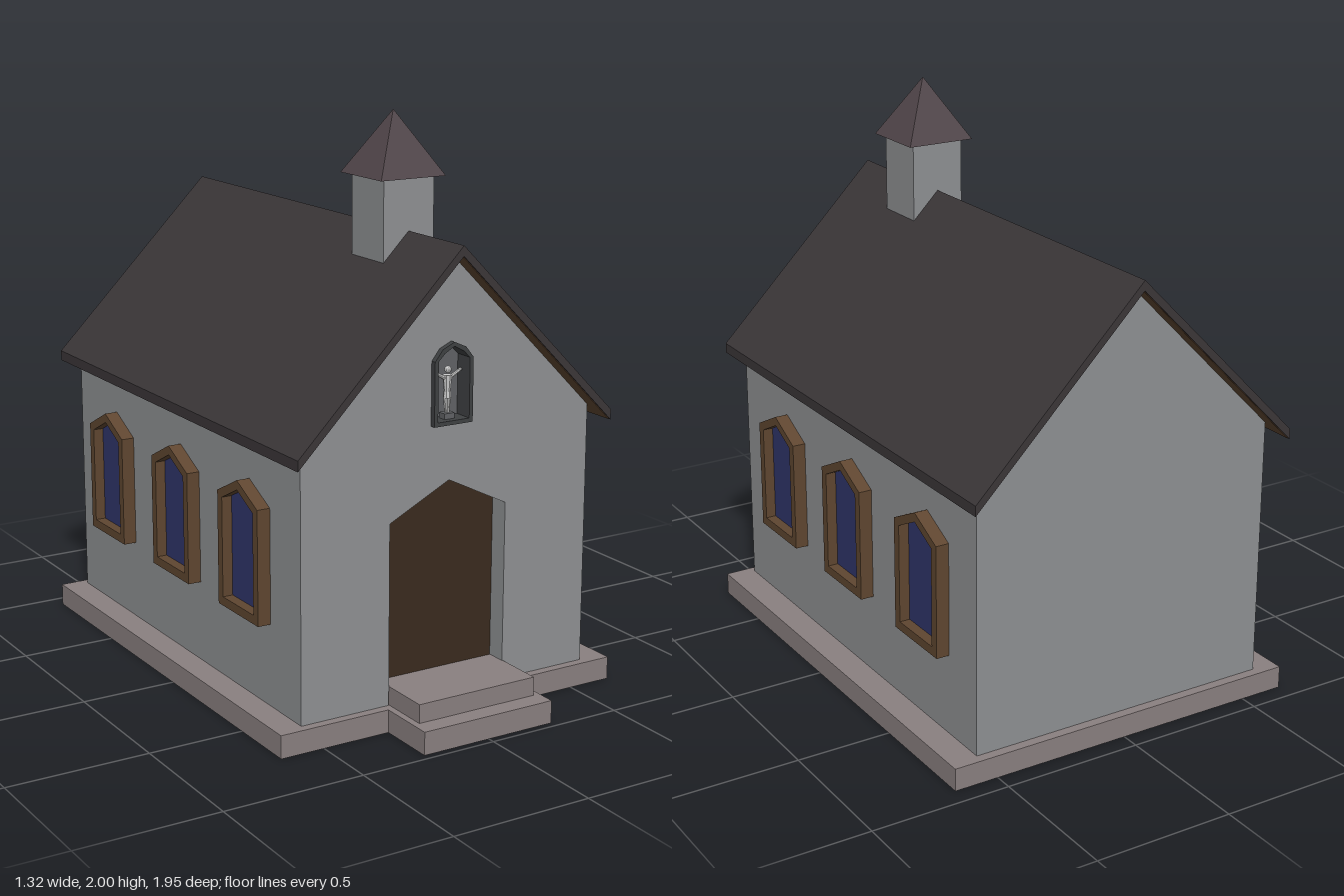
import * as THREE from 'three';

const mat = (color) => new THREE.MeshStandardMaterial({ color, flatShading: true });
const wallMat = mat(0x8f9193), stoneMat = mat(0x8a8080), roofMat = mat(0x3b3638), spireMat = mat(0x51464a);
const woodMat = mat(0x5f4630), doorMat = mat(0x3a2b1e), glassMat = mat(0x30356a);
const nicheMat = mat(0x3f4143), nicheBackMat = mat(0x606265), figureMat = mat(0xcccccc);
stoneMat.side = THREE.DoubleSide;

const CX = -0.004, HALF = 0.564, FRONT = 0.73, BACK = -0.902, REVEAL = 0.08, FLOOR = 0.081;

function add(parent, name, geometry, material, x = 0, y = 0, z = 0) {
  const mesh = new THREE.Mesh(geometry, material);
  mesh.name = name;
  mesh.position.set(x, y, z);
  parent.add(mesh);
  return mesh;
}

// Box given by its limits on each axis
function block(parent, name, material, [x0, x1], [y0, y1], [z0, z1]) {
  return add(parent, name, new THREE.BoxGeometry(x1 - x0, y1 - y0, z1 - z0), material,
    (x0 + x1) / 2, (y0 + y1) / 2, (z0 + z1) / 2);
}

// Stone slab, hollow and open underneath
function slab(parent, name, xs, ys, zs) {
  const { geometry } = block(parent, name, stoneMat, xs, ys, zs);
  geometry.setIndex([...geometry.index.array].filter((_, i) => i < 18 || i >= 24));
  geometry.clearGroups();
}

const poly = (points) => points.map(([x, y]) => new THREE.Vector2(x, y));
const extrude = (shape, depth) => new THREE.ExtrudeGeometry(shape, { depth, bevelEnabled: false });

// Upright outline with a pointed top
const gable = (w, y0, shoulder, apex) => poly([[-w, y0], [w, y0], [w, shoulder], [0, apex], [-w, shoulder]]);

// Niche outline with a faceted arch, shrunk by t
const arch = (t) => poly([[-0.075 + t, 1.013 + t], [0.075 - t, 1.013 + t], [0.075 - t, 1.23], [0.045 - t * 0.6, 1.268 - t],
  [0, 1.288 - t], [-0.045 + t * 0.6, 1.268 - t], [-0.075 + t, 1.23]]);

function withHoles(outline, ...holes) {
  const shape = new THREE.Shape(outline);
  holes.forEach((h) => shape.holes.push(new THREE.Path(h)));
  return shape;
}

// Tapered rod between two points
function limb(parent, name, a, b, r0, r1) {
  const from = new THREE.Vector3(...a), to = new THREE.Vector3(...b);
  const dir = to.clone().sub(from);
  const mesh = add(parent, name, new THREE.CylinderGeometry(r1, r0, dir.length(), 8), figureMat);
  mesh.position.copy(from).add(to).multiplyScalar(0.5);
  mesh.quaternion.setFromUnitVectors(new THREE.Vector3(0, 1, 0), dir.normalize());
}

function makeBase() {
  const g = new THREE.Group();
  g.name = 'base';
  g.position.x = 0.004;
  slab(g, 'plinth', [-0.66, 0.66], [0, 0.08], [-0.935, 0.76]);
  slab(g, 'lowerStep', [-0.253, 0.253], [0, 0.08], [0.76, 0.975]);
  slab(g, 'upperStep', [-0.229, 0.229], [0.08, 0.145], [0.66, 0.907]);
  return g;
}

function makeWalls() {
  const g = new THREE.Group();
  g.name = 'walls';
  const inner = FRONT - REVEAL;
  add(g, 'hall', extrude(withHoles(gable(HALF, FLOOR, 1.008, 1.575)), inner - BACK), wallMat, 0, 0, BACK);
  // Front wall layer, open at the doorway and the niche
  const front = poly([[-HALF, FLOOR], [-0.229, FLOOR], [-0.229, 0.708], [0, 0.822], [0.229, 0.708], [0.229, FLOOR],
    [HALF, FLOOR], [HALF, 1.008], [0, 1.575], [-HALF, 1.008]]);
  add(g, 'frontWall', extrude(withHoles(front, arch(0.01)), REVEAL), wallMat, 0, 0, inner);
  add(g, 'door', extrude(withHoles(gable(0.229, FLOOR, 0.708, 0.822)), 0.008), doorMat, 0, 0, inner);
  return g;
}

function makeRoof() {
  const g = new THREE.Group();
  g.name = 'roof';
  const section = poly([[-0.612, 0.957], [0, 1.575], [0.612, 0.957], [0.612, 0.993], [0, 1.61], [-0.612, 0.993]]);
  add(g, 'roofSlopes', extrude(withHoles(section), 1.772), roofMat, 0, 0, -0.974);
  // Wooden lining under the overhangs
  const lining = poly([[-0.608, 0.958], [0, 1.572], [0.608, 0.958], [0.608, 0.964], [0, 1.578], [-0.608, 0.964]]);
  add(g, 'roofLining', extrude(withHoles(lining), 1.76), woodMat, 0, 0, -0.968);
  return g;
}

function makeTower() {
  const g = new THREE.Group();
  g.name = 'tower';
  g.position.z = 0.38;
  block(g, 'towerShaft', wallMat, [-0.098, 0.098], [1.45, 1.79], [-0.098, 0.098]);
  const spire = new THREE.ConeGeometry(0.126 * Math.SQRT2, 0.214, 4).rotateY(Math.PI / 4);
  add(g, 'spire', spire, spireMat, 0, 1.893, 0);
  return g;
}

function makeWindow(side, z) {
  const g = new THREE.Group();
  g.name = 'window';
  add(g, 'windowFrame', extrude(withHoles(gable(0.135, 0.367, 0.764, 0.831), gable(0.104, 0.398, 0.746, 0.798)), 0.055), woodMat);
  add(g, 'windowGlass', extrude(withHoles(gable(0.106, 0.396, 0.747, 0.8)), 0.018), glassMat);
  g.rotation.y = side * Math.PI / 2;
  g.position.set(side * (HALF - 0.008), 0, z);
  return g;
}

function makeNiche() {
  const g = new THREE.Group();
  g.name = 'niche';
  g.position.set(0.002, 0, FRONT);
  add(g, 'nicheFrame', extrude(withHoles(arch(0), arch(0.014)), 0.07), nicheMat, 0, 0, -0.05);
  add(g, 'nicheBack', extrude(withHoles(arch(0.01)), 0.008), nicheBackMat, 0, 0, -0.06);
  // Small figure with raised arms on a pedestal
  const figure = new THREE.Group();
  figure.name = 'statue';
  figure.position.z = -0.02;
  g.add(figure);
  block(figure, 'pedestal', nicheBackMat, [-0.02, 0.02], [1.025, 1.046], [-0.016, 0.016]);
  limb(figure, 'torso', [0, 1.11, 0], [0, 1.172, 0], 0.01, 0.016);
  limb(figure, 'hips', [0, 1.095, 0], [0, 1.118, 0], 0.014, 0.012);
  add(figure, 'head', new THREE.SphereGeometry(0.012, 10, 8), figureMat, 0, 1.19, 0.003);
  for (const s of [-1, 1]) {
    limb(figure, 'arm', [s * 0.012, 1.163, 0], [s * 0.054, 1.186, 0], 0.007, 0.005);
    limb(figure, 'leg', [s * 0.004, 1.045, 0], [s * 0.006, 1.1, 0], 0.005, 0.008);
  }
  return g;
}

export function createModel() {
  const model = new THREE.Group();
  model.name = 'chapel';
  const body = new THREE.Group();
  body.name = 'building';
  body.position.x = CX;
  body.add(makeBase(), makeWalls(), makeRoof(), makeTower(), makeNiche());
  for (const side of [-1, 1]) {
    for (const z of [0.4, -0.089, -0.597]) body.add(makeWindow(side, z));
  }
  model.add(body);
  return model;
}
